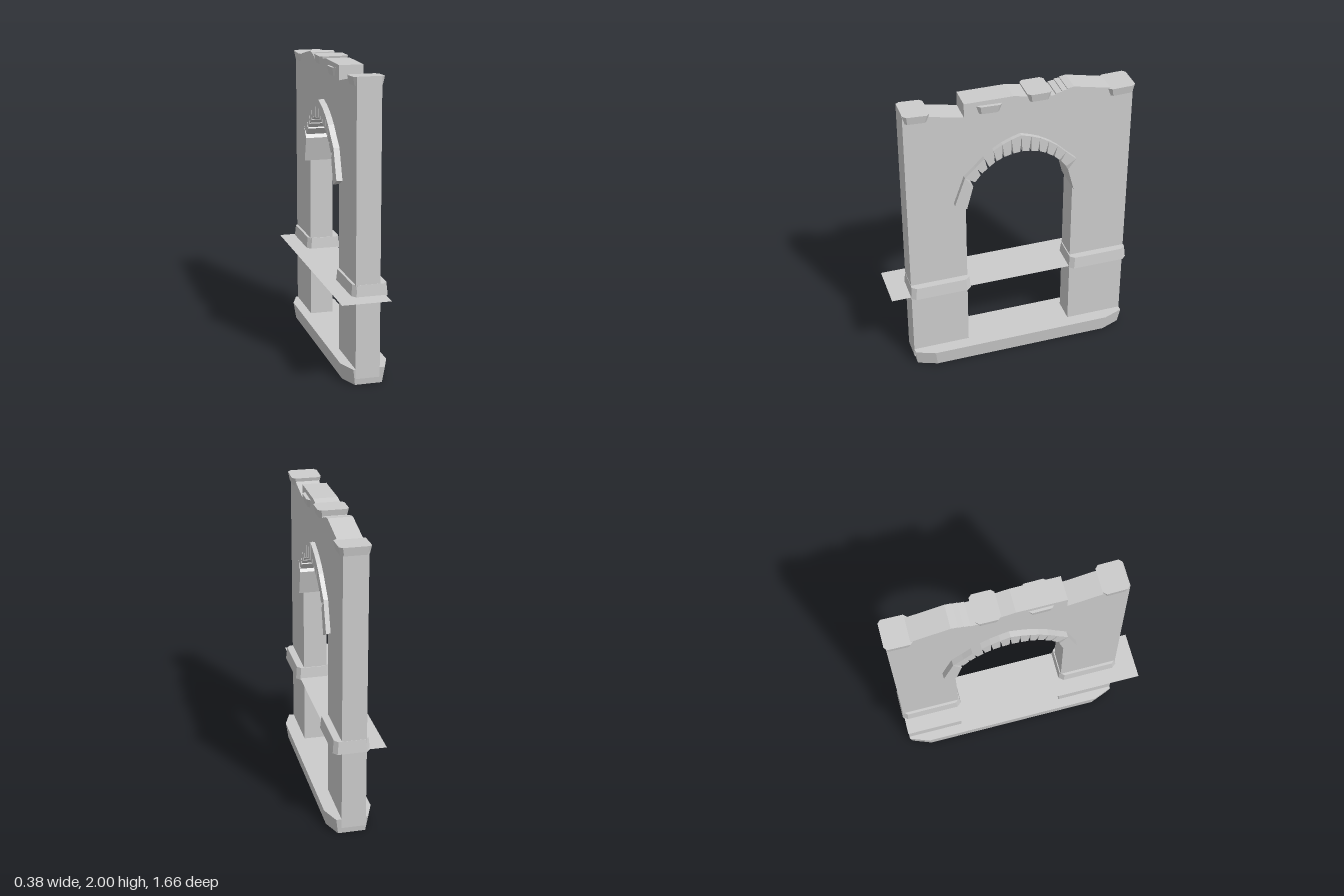
import * as THREE from 'three';
import { ConvexGeometry } from 'three/addons/geometries/ConvexGeometry.js';

const material = new THREE.MeshStandardMaterial({ color: 0xcccccc, flatShading: true });
const thinMaterial = new THREE.MeshStandardMaterial({ color: 0xcccccc, side: THREE.DoubleSide });

// Arch curves as [z, y], from the +z springing to the crown
const CROWN = -0.065;
const outerHalf = [[0.38, 1.275], [0.31, 1.475], [0.24, 1.54], [0.18, 1.6], [0.12, 1.645], [0.06, 1.68], [0, 1.705], [CROWN, 1.725]];
const innerHalf = [[0.3, 1.235], [0.25, 1.425], [0.2, 1.485], [0.155, 1.525], [0.105, 1.56], [0.055, 1.583], [-0.005, 1.598], [CROWN, 1.605]];
const mirrorZ = ([z, y]) => [2 * CROWN - z, y];
const fullArch = (half) => [...half, ...half.slice(0, -1).reverse().map(mirrorZ)];
const mix = (a, b, t) => a.map((v, i) => v + (b[i] - v) * t);

// Extrude a [z, y] outline between x0 and x1
function slab(outline, x0, x1) {
  const shape = new THREE.Shape(outline.map(([z, y]) => new THREE.Vector2(z, y)));
  const geometry = new THREE.ExtrudeGeometry(shape, { depth: x1 - x0, bevelEnabled: false });
  return geometry.rotateY(-Math.PI / 2).translate(x1, 0, 0);
}

// Stone with cut corners; inset narrows the top (or the bottom if negative)
function cutStone([x0, x1], [y0, y1], [z0, z1], cutX, cutZ, inset) {
  const points = [];
  for (const [y, level] of [[y0, 0], [y1, 1]]) {
    const d = inset > 0 ? inset * level : -inset * (1 - level);
    for (const [x, sx] of [[x0 + d, 1], [x1 - d, -1]]) {
      for (const [z, sz] of [[z0 + d, 1], [z1 - d, -1]]) {
        points.push(new THREE.Vector3(x + sx * cutX, y, z), new THREE.Vector3(x, y, z + sz * cutZ));
      }
    }
  }
  return new ConvexGeometry(points);
}

export function createModel() {
  const model = new THREE.Group();
  const add = (name, geometry, mat = material) => {
    const mesh = new THREE.Mesh(geometry, mat);
    mesh.name = name;
    model.add(mesh);
    return mesh;
  };

  // Ruined wall: broken top edge, then the arched opening
  const outer = fullArch(outerHalf);
  const inner = fullArch(innerHalf);
  const opening = inner.map((p, i) => mix(p, outer[i], i === 0 || i === inner.length - 1 ? 0 : 0.7));
  add('wall', slab([
    [0.69, 0.05], [0.69, 1.985], [0.3, 1.905], [0.3, 2], [-0.02, 2], [-0.1, 1.985],
    [-0.25, 1.96], [-0.3, 1.96], [-0.3, 1.97], [-0.34, 1.975], [-0.34, 1.983], [-0.375, 1.985],
    [-0.375, 1.992], [-0.42, 1.998], [-0.67, 1.945], [-0.82, 1.93], [-0.82, 0.05],
    [-0.43, 0.05], ...opening.slice().reverse(), [0.3, 0.05],
  ], -0.06, 0.1));

  // Arch stones, split by wedge-shaped joints on the inside
  const arch = new THREE.Group();
  arch.name = 'archStones';
  for (let i = 0; i < outer.length - 1; i++) {
    const first = i === 0 ? 0 : 0.12;
    const last = i === outer.length - 2 ? 0 : 0.12;
    const stone = new THREE.Mesh(slab([
      outer[i], outer[i + 1],
      mix(inner[i + 1], inner[i], last), mix(inner[i], inner[i + 1], first),
    ], -0.1, 0.13), material);
    stone.name = 'archStone';
    arch.add(stone);
  }
  model.add(arch);

  // Plinth and the collar around each pillar
  add('plinth', cutStone([-0.125, 0.185], [0.005, 0.115], [-0.82, 0.69], 0.05, 0.13, -0.015));
  for (const z of [[0.285, 0.7], [-0.83, -0.415]]) {
    add('pillarCollar', cutStone([-0.085, 0.155], [0.59, 0.675], z, 0.025, 0.03, 0.008));
  }

  // Loose stones along the broken top: z centre, y centre, length, height, tilt
  const capStones = [
    [0.605, 1.952, 0.17, 0.055, -0.05],
    [0.137, 1.942, 0.165, 0.055, -0.03],
    [-0.19, 1.972, 0.16, 0.055, 0],
    [-0.742, 1.92, 0.18, 0.055, 0.03],
  ];
  for (const [z, y, length, height, tilt] of capStones) {
    const stone = add('capStone', cutStone([-0.1, 0.1], [-height / 2, height / 2], [-length / 2, length / 2], 0.02, 0.02, -0.01));
    stone.position.set(0.023, y, z);
    stone.rotation.x = tilt;
  }

  // Thin sheet passing through the pillars
  add('sheet', new THREE.PlaneGeometry(0.32, 1.65).rotateX(-Math.PI / 2).translate(-0.03, 0.6, 0.005), thinMaterial);

  return model;
}
